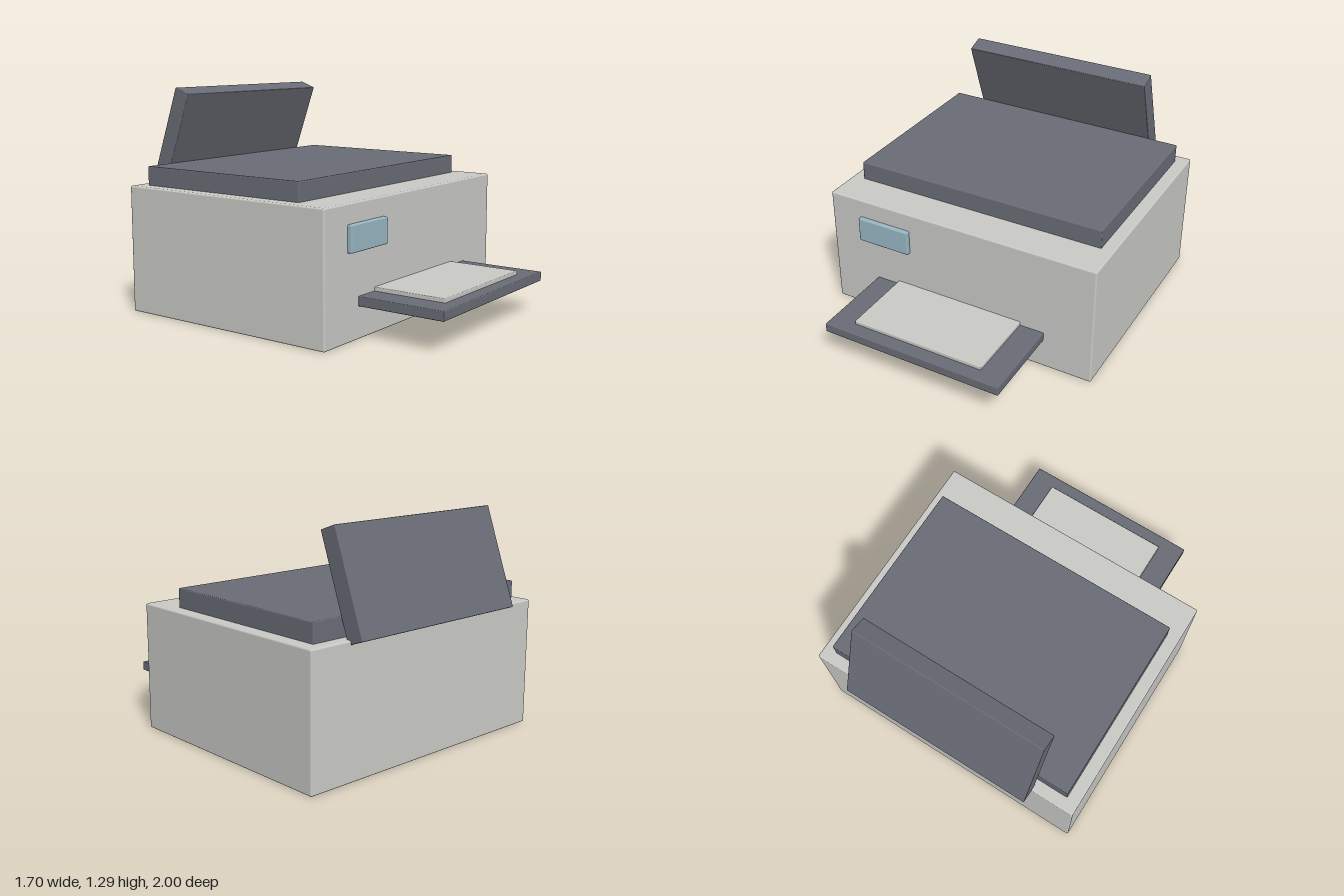
import * as THREE from 'three';
import { RoundedBoxGeometry } from 'three/addons/geometries/RoundedBoxGeometry.js';

const material = (name, color) => {
  const m = new THREE.MeshStandardMaterial({ color });
  m.name = name;
  return m;
};

export function createModel() {
  const model = new THREE.Group();
  model.name = 'printer';
  const casing = material('light grey', 0xc9c9c6);
  const dark = material('slate grey', 0x696c76);
  const glass = material('pale blue', 0x98b6c2);

  // Softly bevelled box given by its extents on each axis
  const part = (name, mat, [x0, x1], [y0, y1], [z0, z1], radius) => {
    const geometry = new RoundedBoxGeometry(x1 - x0, y1 - y0, z1 - z0, 2, radius);
    const mesh = new THREE.Mesh(geometry, mat);
    mesh.name = name;
    mesh.position.set((x0 + x1) / 2, (y0 + y1) / 2, (z0 + z1) / 2);
    model.add(mesh);
    return mesh;
  };

  part('body', casing, [-0.85, 0.85], [0, 0.74], [-0.92, 0.48], 0.01);
  part('scannerLid', dark, [-0.775, 0.775], [0.735, 0.85], [-0.85, 0.26], 0.006);
  part('displayPanel', glass, [-0.65, -0.315], [0.48, 0.63], [0.45, 0.507], 0.008);

  // Output tray with a sheet of paper lying on it
  part('outputTray', dark, [-0.553, 0.553], [0.18, 0.234], [0.4, 1], 0.005);
  part('paper', casing, [-0.406, 0.406], [0.23, 0.256], [0.4, 0.92], 0.005);

  // Paper feeder at the back, its top tipped forward
  const feeder = part('paperFeeder', dark, [-0.59, 0.59], [0.711, 1.295], [-0.9035, -0.7965], 0.005);
  feeder.rotation.x = THREE.MathUtils.degToRad(20);

  return model;
}
